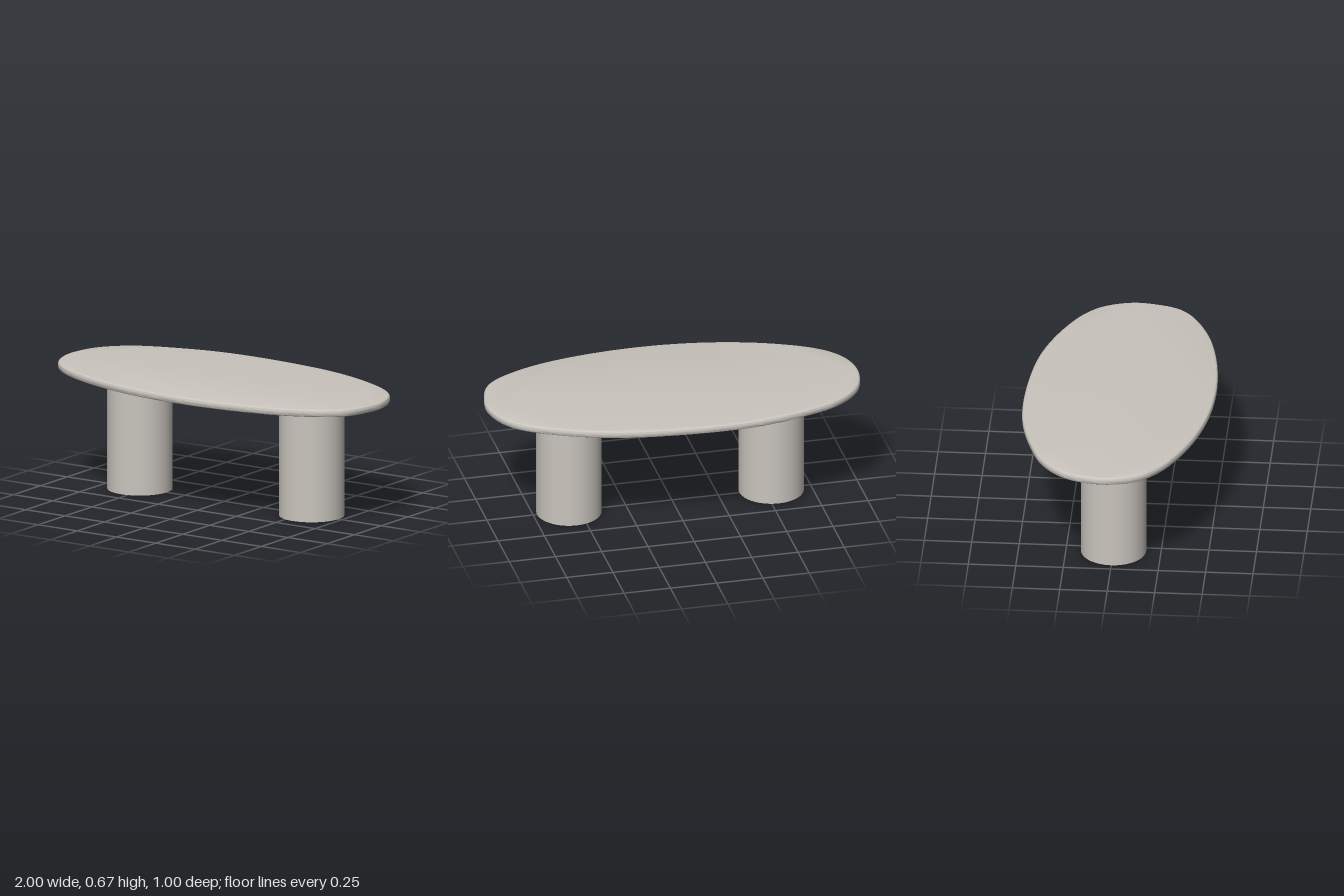
import * as THREE from 'three';
import { toCreasedNormals } from 'three/addons/utils/BufferGeometryUtils.js';

const stone = new THREE.MeshStandardMaterial({ name: 'warmGreyStone', color: 0xc9c4bd });

const BOTTOM = 0.626, TOP = 0.667, ROUND = 0.014;

// Organic outline of the top as [x, z], starting at the +x tip
const OUTLINE = [
  [1, 0], [0.985, 0.13], [0.945, 0.24], [0.87, 0.315], [0.67, 0.412], [0.4, 0.475],
  [0.05, 0.5], [-0.29, 0.47], [-0.6, 0.387], [-0.85, 0.262], [-0.955, 0.15], [-1, 0],
  [-0.978, -0.16], [-0.925, -0.26], [-0.8, -0.365], [-0.6, -0.44], [-0.4, -0.487],
  [-0.2, -0.504], [0.1, -0.493], [0.4, -0.45], [0.67, -0.358], [0.87, -0.245], [0.955, -0.145],
];

function makeTop() {
  const curve = new THREE.CatmullRomCurve3(
    OUTLINE.map(([x, z]) => new THREE.Vector3(x, -z, 0)), true, 'centripetal');
  const points = curve.getSpacedPoints(128).slice(0, -1).map(p => new THREE.Vector2(p.x, p.y));
  const geometry = new THREE.ExtrudeGeometry(new THREE.Shape(points), {
    depth: TOP - BOTTOM - 2 * ROUND,
    bevelEnabled: true, bevelThickness: ROUND, bevelSize: ROUND,
    bevelOffset: -ROUND, bevelSegments: 4,
  });
  // Lay the slab flat, with its underside at the top of the legs
  geometry.rotateX(-Math.PI / 2).translate(0, BOTTOM + ROUND, 0);
  const mesh = new THREE.Mesh(toCreasedNormals(geometry, 0.6), stone);
  mesh.name = 'tableTop';
  return mesh;
}

function makeLeg(name, x) {
  const leg = new THREE.Mesh(new THREE.CylinderGeometry(0.172, 0.172, BOTTOM, 64), stone);
  leg.name = name;
  leg.position.set(x, BOTTOM / 2, 0);
  return leg;
}

export function createModel() {
  const table = new THREE.Group();
  table.name = 'coffeeTable';
  table.add(makeTop(), makeLeg('rightLeg', -0.537), makeLeg('leftLeg', 0.557));
  return table;
}
